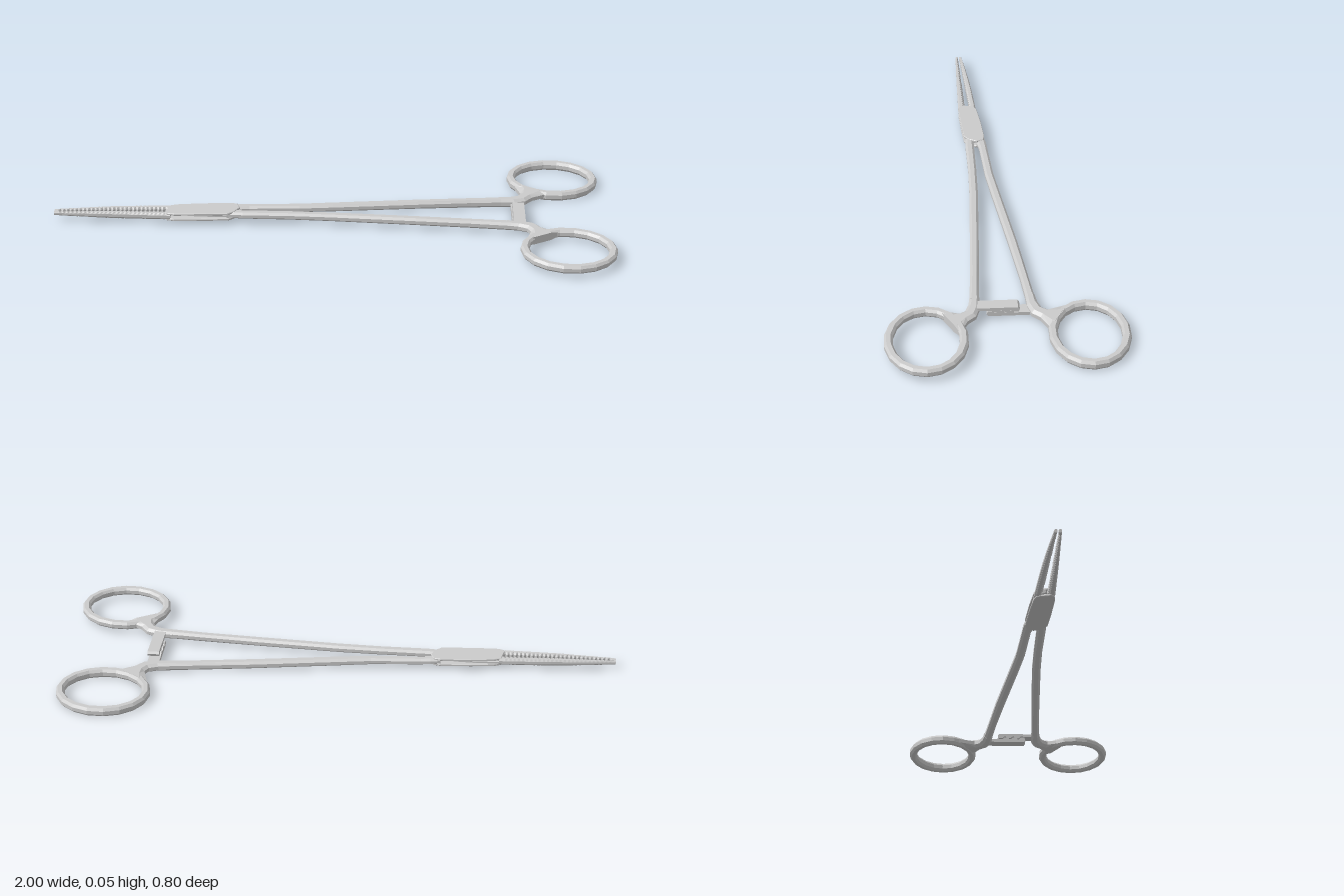
import * as THREE from 'three';

const steel = new THREE.MeshStandardMaterial({ color: 0xcccccc, flatShading: true, metalness: 0.1, roughness: 0.6 });

// Chamfered bar section: [across, up] fractions
const OCT = [[0.25, 0], [0.75, 0], [1, 0.28], [1, 0.72], [0.75, 1], [0.25, 1], [0, 0.72], [0, 0.28]];

// Loft a chamfered bar through stations [xL, zL, xR, zR, yBottom, yTop]
function loft(stations, closed = false) {
  const pos = [], idx = [], n = OCT.length, m = stations.length;
  for (const [xl, zl, xr, zr, y0, y1] of stations)
    for (const [u, v] of OCT) pos.push(xl + (xr - xl) * u, y0 + (y1 - y0) * v, zl + (zr - zl) * u);
  for (let i = 0; i < (closed ? m : m - 1); i++)
    for (let j = 0; j < n; j++) {
      const a = i * n + j, b = i * n + (j + 1) % n;
      const c = ((i + 1) % m) * n + j, d = ((i + 1) % m) * n + (j + 1) % n;
      idx.push(a, c, b, b, c, d);
    }
  if (!closed) for (let j = 1; j < n - 1; j++) {
    const e = (m - 1) * n;
    idx.push(0, j, j + 1, e, e + j + 1, e + j);
  }
  // Turn the faces outward whichever way the path runs
  let volume = 0;
  const p = (i) => new THREE.Vector3().fromArray(pos, i * 3);
  for (let i = 0; i < idx.length; i += 3) volume += p(idx[i]).dot(p(idx[i + 1]).cross(p(idx[i + 2])));
  if (volume < 0) idx.reverse();
  const g = new THREE.BufferGeometry();
  g.setAttribute('position', new THREE.Float32BufferAttribute(pos, 3));
  g.setIndex(idx);
  g.computeVertexNormals();
  return g;
}

function add(parent, name, geometry) {
  const mesh = new THREE.Mesh(geometry, steel);
  mesh.name = name;
  parent.add(mesh);
}

// Oval finger ring
function ring(cx, cz, rx, rz, y0, y1) {
  const s = [], N = 18, w = 0.029;
  for (let i = 0; i < N; i++) {
    const a = (i / N) * Math.PI * 2, c = Math.cos(a), d = Math.sin(a);
    s.push([cx + rx * c, cz + rz * d, cx + (rx - w) * c, cz + (rz - w) * d, y0, y1]);
  }
  return loft(s, true);
}

// Neck from the arm to the ring; side = -1 for the rear half, 1 for the front half
function neck(side, dx, dz, y0, y1) {
  return loft([
    [0.6, 0.102, 0.6, 0.07], [0.64, 0.108, 0.66, 0.073], [0.672, 0.12, 0.7, 0.085],
    [0.684, 0.14, 0.725, 0.113], [0.672, 0.175, 0.775, 0.139], [0.66, 0.21, 0.785, 0.141]
  ].map(([a, b, c, d]) => [a + dx, side * b + dz, c + dx, side * d + dz, y0, y1]));
}

// Arm from centre points [x, z, width, yBottom, yTop]
const arm = (pts) => loft(pts.map(([x, z, w, y0, y1]) => [x, z - w / 2, x, z + w / 2, y0, y1]));

// Tapered jaw with a serrated inner edge: z of the outer and inner edges at tip and base
function jaw(outTip, outBase, inTip, inBase, bow) {
  const s = [], N = 56, toward = Math.sign(outTip - inTip);
  for (let i = 0; i <= N; i++) {
    const t = i / N, x = -1 + 0.42 * t, mix = THREE.MathUtils.lerp;
    const tooth = i % 2 && i > 1 && i < N - 2 ? 0.006 : 0;
    const outer = mix(outTip, outBase, t) + toward * bow * Math.sin(Math.PI * t);
    const top = mix(0.039, 0.045, Math.min(1, t * 2));
    s.push([x, outer, x, mix(inTip, inBase, t) + toward * tooth, mix(0.026, 0.02, Math.min(1, t * 2)), top]);
  }
  return loft(s);
}

// Flat cheek plate of the box joint, lying between y0 and y1
function cheek(y0, y1) {
  const outline = [[-0.6, 0.09], [-0.588, 0.043], [-0.565, 0.034], [-0.48, 0.023], [-0.37, 0.014], [-0.345, 0.018],
    [-0.334, 0.045], [-0.35, 0.075], [-0.37, 0.091], [-0.45, 0.098], [-0.565, 0.105], [-0.592, 0.101]];
  const shape = new THREE.Shape(outline.map(([x, z]) => new THREE.Vector2(x, -z)));
  const b = 0.002;
  const g = new THREE.ExtrudeGeometry(shape, { depth: y1 - y0 - 2 * b, bevelSize: b, bevelThickness: b, bevelOffset: -b, bevelSegments: 1 });
  return g.rotateX(-Math.PI / 2).translate(0, y0 + b, 0);
}

// Ratchet bar along z, with slanted teeth on its face at height yTooth
function ratchet(zRoot, zEnd, yFlat, yTooth, xMax) {
  const dir = Math.sign(zEnd - zRoot), h = (yTooth - yFlat) * 0.4;
  const pts = [[zRoot, yFlat], [zEnd - dir * 0.006, yFlat], [zEnd, yFlat + h]];
  for (let k = 0; k < 3; k++) {
    const z = zEnd - dir * (0.004 + k * 0.032);
    pts.push([z, yTooth], [z - dir * 0.014, yTooth], [z - dir * 0.022, yTooth - h], [z - dir * 0.028, yTooth - h]);
  }
  pts.push([zRoot, yTooth - h]);
  const shape = new THREE.Shape(pts.map((q) => new THREE.Vector2(...q)));
  const g = new THREE.ExtrudeGeometry(shape, { depth: 0.042, bevelEnabled: false });
  return g.rotateY(-Math.PI / 2).translate(xMax, 0, 0);
}

export function createModel() {
  const model = new THREE.Group();
  model.name = 'lockingForceps';

  // Rear handle, running through the box joint to the front jaw
  const rear = new THREE.Group();
  rear.name = 'rearHandleHalf';
  add(rear, 'rearFingerRing', ring(0.807, -0.266, 0.168, 0.134, 0, 0.033));
  add(rear, 'rearNeck', neck(-1, 0, 0, 0.002, 0.034));
  add(rear, 'rearArm', arm([
    [-0.37, 0.03, 0.03, 0.021, 0.044], [-0.335, 0.027, 0.036, 0.02, 0.044], [-0.3, 0.022, 0.03, 0.019, 0.043],
    [-0.12, 0.009, 0.031, 0.016, 0.042], [0, -0.007, 0.032, 0.013, 0.041], [0.3, -0.049, 0.032, 0.008, 0.037],
    [0.5, -0.074, 0.029, 0.004, 0.035], [0.61, -0.086, 0.031, 0.003, 0.034]]));
  add(rear, 'boxJointTopCheek', cheek(0.038, 0.047));
  add(rear, 'boxJointBottomCheek', cheek(0.016, 0.025));
  add(rear, 'frontJaw', jaw(0.099, 0.104, 0.089, 0.077, 0.001));
  add(rear, 'lowerRatchet', ratchet(-0.095, 0.062, 0.008, 0.028, 0.687));

  // Front handle, with a tongue that crosses to the rear jaw
  const front = new THREE.Group();
  front.name = 'frontHandleHalf';
  add(front, 'frontFingerRing', ring(0.832, 0.263, 0.168, 0.137, 0.016, 0.046));
  add(front, 'frontNeck', neck(1, 0.022, 0.013, 0.016, 0.046));
  add(front, 'frontArm', arm([
    [-0.38, 0.07, 0.03, 0.021, 0.044], [-0.32, 0.072, 0.032, 0.02, 0.045], [-0.15, 0.07, 0.03, 0.019, 0.045],
    [0, 0.072, 0.031, 0.018, 0.045], [0.3, 0.084, 0.031, 0.017, 0.045], [0.5, 0.093, 0.029, 0.016, 0.045],
    [0.635, 0.101, 0.032, 0.016, 0.046]]));
  add(front, 'jointTongue', arm([
    [-0.6, 0.055, 0.036, 0.024, 0.039], [-0.5, 0.058, 0.056, 0.024, 0.039],
    [-0.42, 0.06, 0.056, 0.024, 0.039], [-0.35, 0.068, 0.032, 0.024, 0.039]]));
  add(front, 'rearJaw', jaw(0.075, 0.036, 0.085, 0.061, 0.004));
  add(front, 'upperRatchet', ratchet(0.1, -0.047, 0.044, 0.026, 0.691));

  model.add(rear, front);
  return model;
}
